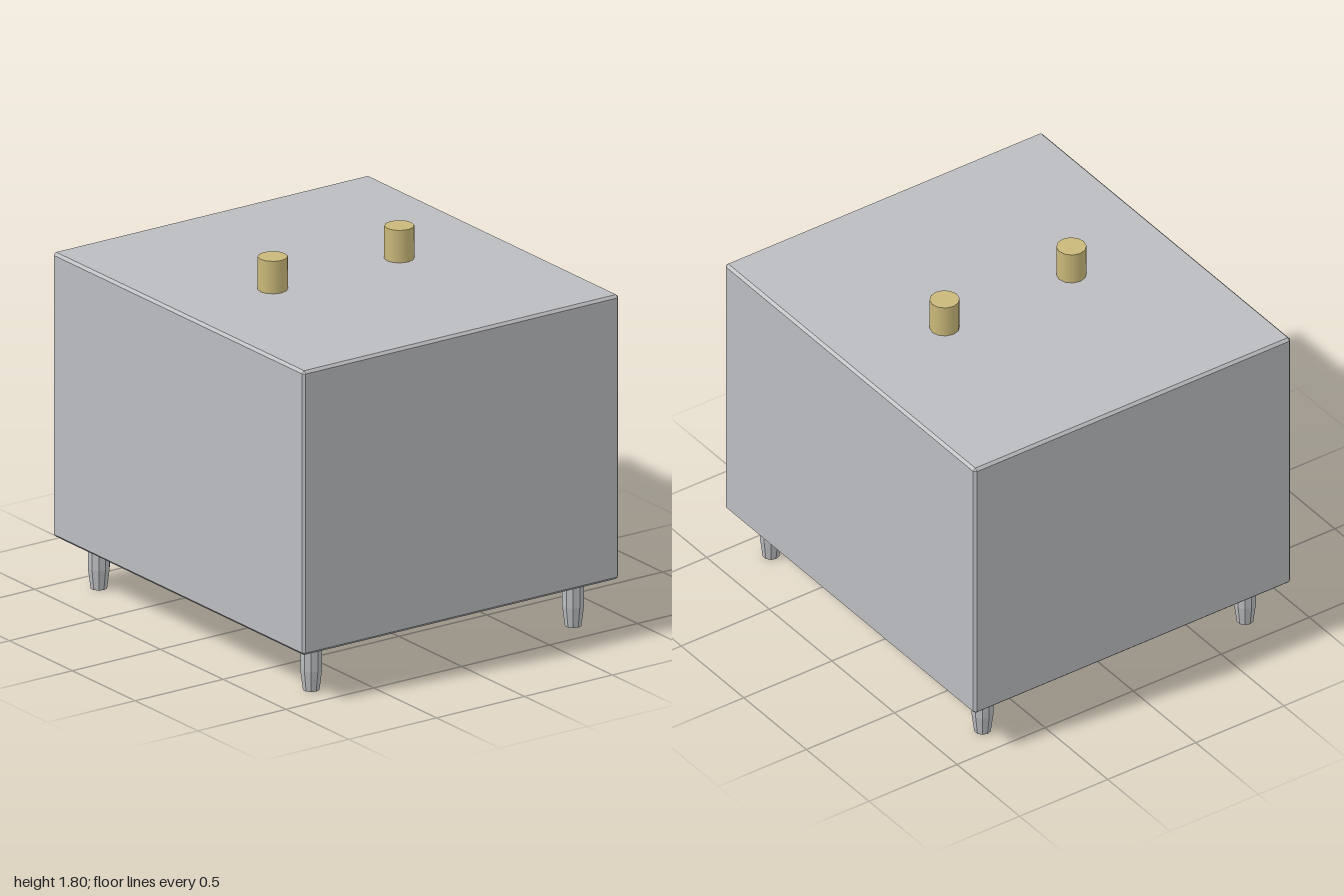
import * as THREE from 'three';
import { ConvexGeometry } from 'three/addons/geometries/ConvexGeometry.js';

// Box with flat chamfers on every edge
function chamferedBox(w, h, d, c) {
  const points = [];
  for (const sx of [-1, 1]) for (const sy of [-1, 1]) for (const sz of [-1, 1]) {
    const x = sx * w / 2, y = sy * h / 2, z = sz * d / 2;
    points.push(
      new THREE.Vector3(x, y - sy * c, z - sz * c),
      new THREE.Vector3(x - sx * c, y, z - sz * c),
      new THREE.Vector3(x - sx * c, y - sy * c, z),
    );
  }
  return new ConvexGeometry(points);
}

// Faceted copy of a geometry
function faceted(geometry) {
  const flat = geometry.toNonIndexed();
  flat.computeVertexNormals();
  return flat;
}

export function createModel() {
  const grey = new THREE.MeshStandardMaterial({ color: 0xbbbcc0 });
  grey.name = 'grey metal';
  const brass = new THREE.MeshStandardMaterial({ color: 0xcab87a });
  brass.name = 'brass';

  const model = new THREE.Group();
  model.name = 'cabinet';
  const add = (name, geometry, material, x, y, z) => {
    const mesh = new THREE.Mesh(geometry, material);
    mesh.name = name;
    mesh.position.set(x, y, z);
    model.add(mesh);
  };

  // Main body
  add('body', chamferedBox(1.8, 1.4, 2, 0.013), grey, 0, 0.94, 0);

  // Two pegs on the top
  const peg = new THREE.CylinderGeometry(0.07, 0.07, 0.16, 12);
  for (const s of [-1, 1]) add(s > 0 ? 'leftPeg' : 'rightPeg', peg, brass, s * 0.36, 1.72, 0);

  // Four feet, straight above and tapered to the ground
  const profile = [[0, 0], [0.04, 0], [0.053, 0.1], [0.053, 0.24], [0, 0.24]]
    .map(([r, y]) => new THREE.Vector2(r, y));
  const foot = faceted(new THREE.LatheGeometry(profile, 10));
  for (const sx of [-1, 1]) for (const sz of [-1, 1]) {
    const name = (sz > 0 ? 'front' : 'back') + (sx > 0 ? 'Left' : 'Right') + 'Foot';
    add(name, foot, grey, sx * 0.745, 0, sz * 0.845);
  }

  return model;
}
